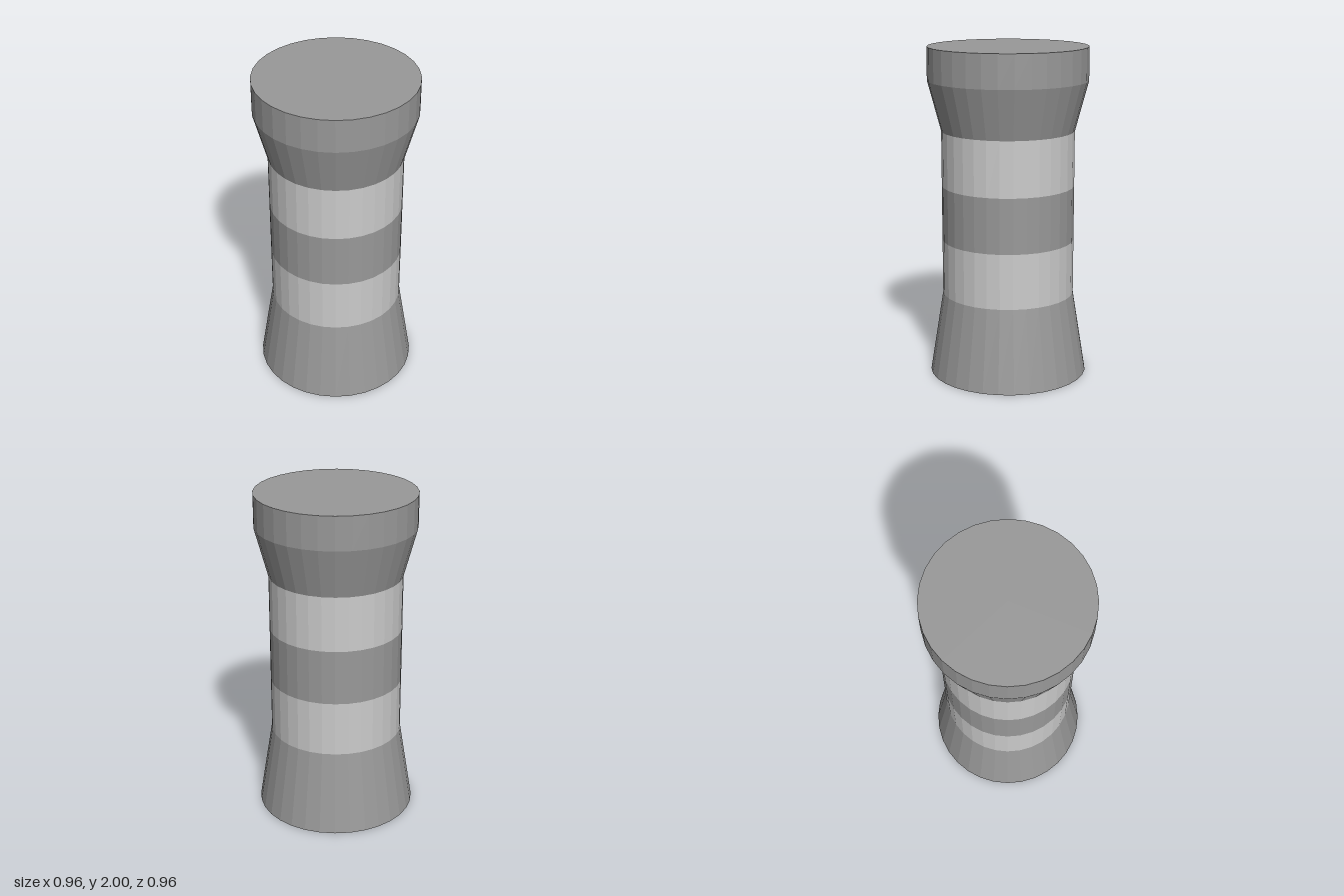
import * as THREE from 'three';

const SIDES = 32;
const LIGHT = 0xcccccc;
const DARK = 0x999999;

export function createModel() {
  const group = new THREE.Group();
  const materials = new Map([LIGHT, DARK].map((color) => [
    color, new THREE.MeshStandardMaterial({ color, flatShading: true }),
  ]));

  // One stacked ring of the column: heights y0..y1, radii r0 (bottom) and r1 (top)
  function section(name, y0, y1, r0, r1, color) {
    const geometry = new THREE.CylinderGeometry(r1, r0, y1 - y0, SIDES, 1, true);
    const mesh = new THREE.Mesh(geometry, materials.get(color));
    mesh.name = name;
    mesh.position.y = (y0 + y1) / 2;
    group.add(mesh);
  }

  // Flat end disc, facing up (+1) or down (-1)
  function endCap(name, y, radius, facing) {
    const mesh = new THREE.Mesh(new THREE.CircleGeometry(radius, SIDES), materials.get(DARK));
    mesh.name = name;
    mesh.rotation.x = -facing * Math.PI / 2;
    mesh.position.y = y;
    group.add(mesh);
  }

  // Flared foot
  endCap('footUnderside', 0, 0.48, -1);
  section('flaredFoot', 0, 0.5, 0.48, 0.4, DARK);

  // Shaft in three equal bands, light and dark in turn
  const names = ['lowerBand', 'middleBand', 'upperBand'];
  names.forEach((name, i) => {
    section(name, 0.5 + i / 3, 0.5 + (i + 1) / 3, 0.4, 0.4, i === 1 ? DARK : LIGHT);
  });

  // Flared collar and straight head
  section('flaredCollar', 1.5, 1.8, 0.4, 0.48, DARK);
  section('head', 1.8, 2, 0.48, 0.48, DARK);
  endCap('headTop', 2, 0.48, 1);

  return group;
}
